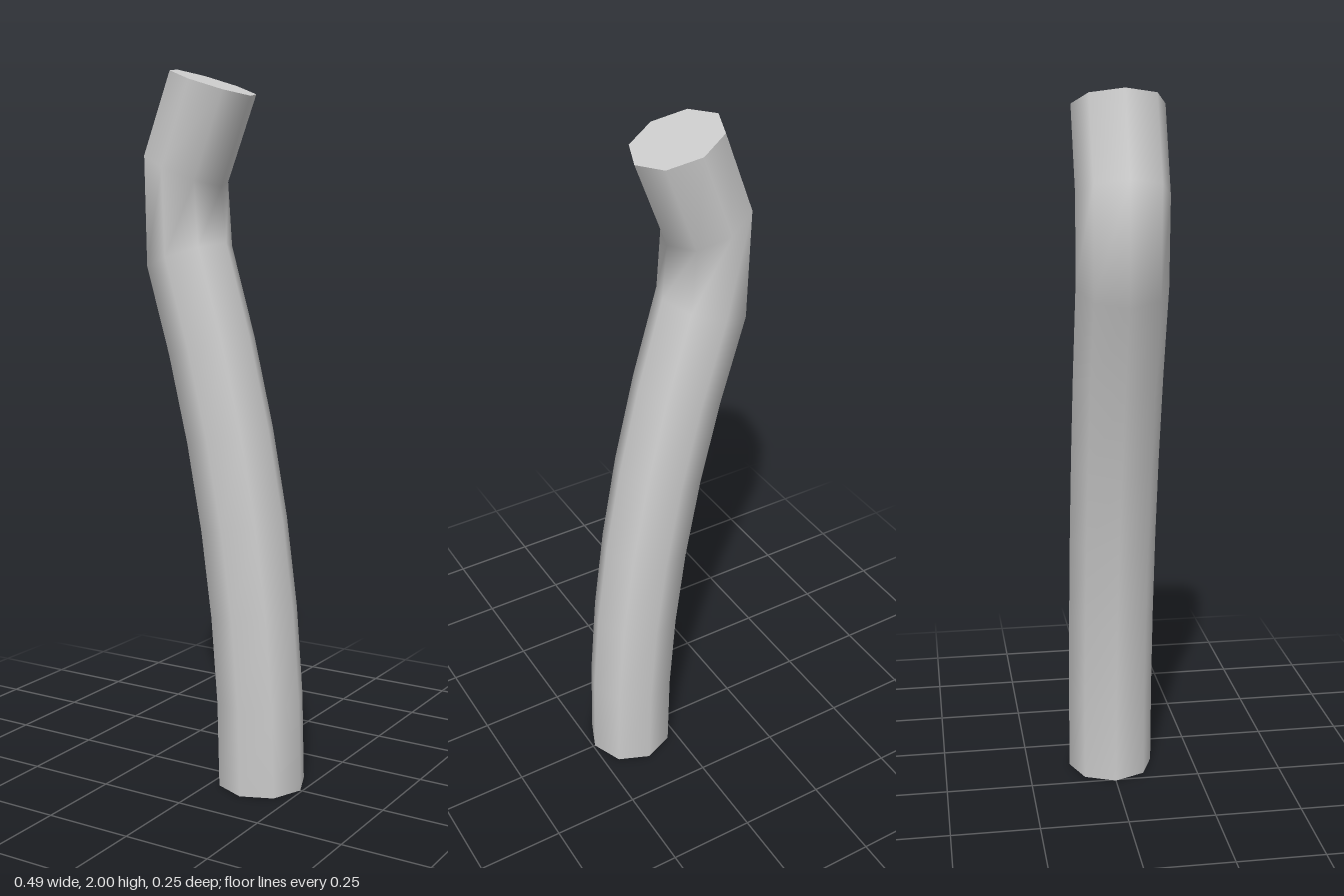
import * as THREE from 'three';

const RADIUS = 0.125;
const SIDES = 8;

// Cross-sections along the pipe: centre x, centre y, tilt about z
function pipeRings() {
  const rings = [];
  const bendTop = 1.49, drift = 0.239, steps = 6;
  for (let i = 0; i <= steps; i++) {
    const y = (bendTop * i) / steps;
    const x = 0.119 - drift * (y / bendTop) ** 2;
    rings.push([x, y, Math.atan((2 * drift * y) / bendTop ** 2)]);
  }
  // Short upright neck, then the end turned the other way
  rings.push([-0.13, 1.73, -0.41]);
  rings.push([-0.042, 1.959, -0.332]);
  return rings;
}

export function createModel() {
  const group = new THREE.Group();
  group.name = 'bentPipe';

  const rings = pipeRings();
  const last = rings.length - 1;
  const geometry = new THREE.CylinderGeometry(RADIUS, RADIUS, last, SIDES, last);
  const position = geometry.attributes.position;
  const normal = geometry.attributes.normal;
  const axis = new THREE.Vector3(0, 0, 1);
  const v = new THREE.Vector3();

  // Move each row of the straight cylinder, caps included, onto its ring
  for (let i = 0; i < position.count; i++) {
    v.fromBufferAttribute(position, i);
    const [x, y, tilt] = rings[Math.round(v.y + last / 2)];
    v.y = 0;
    v.applyAxisAngle(axis, tilt);
    position.setXYZ(i, v.x + x, v.y + y, v.z);
    v.fromBufferAttribute(normal, i).applyAxisAngle(axis, tilt);
    normal.setXYZ(i, v.x, v.y, v.z);
  }

  const pipe = new THREE.Mesh(geometry, new THREE.MeshStandardMaterial({ color: 0xcccccc }));
  pipe.name = 'pipe';
  group.add(pipe);
  return group;
}
